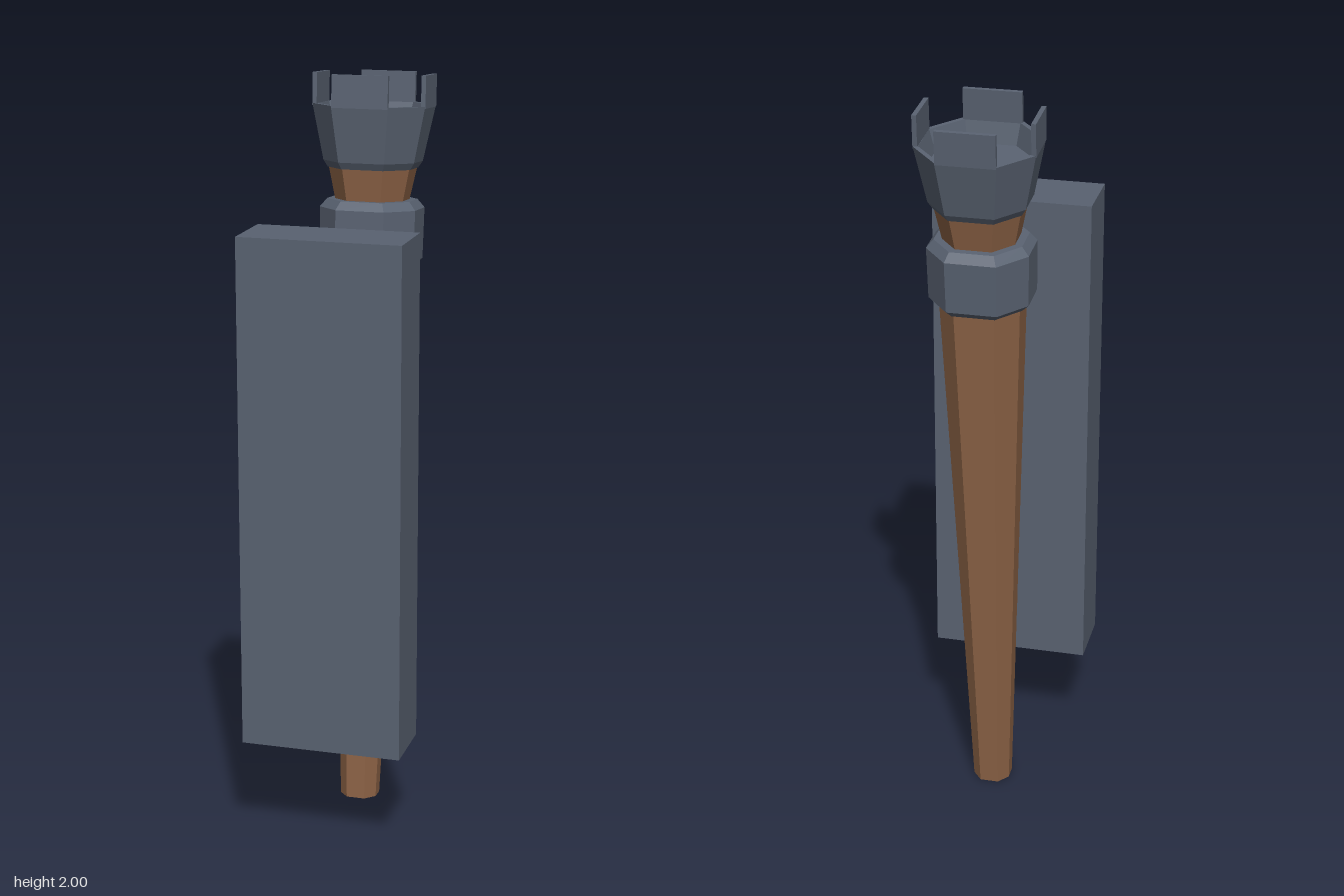
import * as THREE from 'three';

const steel = new THREE.MeshStandardMaterial({ color: 0x596271, flatShading: true });
steel.name = 'slateGrey';
const wood = new THREE.MeshStandardMaterial({ color: 0x8d6346, flatShading: true });
wood.name = 'woodBrown';

// Eight-sided outline (x, z), slightly narrower front to back
const OCTAGON = [
  [0.5, 0.97], [1, 0.385], [1, -0.385], [0.5, -0.97],
  [-0.5, -0.97], [-1, -0.385], [-1, 0.385], [-0.5, 0.97],
];

// Stack octagons along y: profile is a list of [radius, height], radius 0 closes an end
function octagonLoft(name, profile, material) {
  const positions = [];
  const point = ([r, h], i) => {
    const [x, z] = OCTAGON[i % 8];
    return [x * r, h, z * r];
  };
  for (let k = 0; k < profile.length - 1; k++) {
    const low = profile[k], high = profile[k + 1];
    for (let i = 0; i < 8; i++) {
      const a = point(low, i), b = point(low, i + 1);
      const c = point(high, i + 1), d = point(high, i);
      if (low[0] > 0) positions.push(...a, ...b, ...c);
      if (high[0] > 0) positions.push(...a, ...c, ...d);
    }
  }
  const geometry = new THREE.BufferGeometry();
  geometry.setAttribute('position', new THREE.Float32BufferAttribute(positions, 3));
  geometry.computeVertexNormals();
  const mesh = new THREE.Mesh(geometry, material);
  mesh.name = name;
  return mesh;
}

// Box from its low and high corners
function box(name, [x0, y0, z0], [x1, y1, z1], material) {
  const mesh = new THREE.Mesh(new THREE.BoxGeometry(x1 - x0, y1 - y0, z1 - z0), material);
  mesh.position.set((x0 + x1) / 2, (y0 + y1) / 2, (z0 + z1) / 2);
  mesh.name = name;
  return mesh;
}

export function createModel() {
  const model = new THREE.Group();
  model.name = 'wallTorch';

  // Wall plate and the two arms holding the torch
  model.add(box('wallPlate', [-0.213, 0.29, 0.153], [0.213, 1.64, 0.332], steel));
  model.add(box('upperArm', [-0.021, 1.19, -0.1], [0.021, 1.41, 0.153], steel));
  model.add(box('lowerArm', [-0.021, 0.43, -0.07], [0.021, 0.64, 0.153], wood));

  // Torch leaning away from the plate
  const torch = new THREE.Group();
  torch.name = 'torch';
  torch.position.set(0, 0.004, -0.054);
  torch.rotation.x = -0.07;
  model.add(torch);

  torch.add(octagonLoft('handle', [[0, 0], [0.05, 0], [0.104, 1.5], [0, 1.5]], wood));
  torch.add(octagonLoft('collar', [
    [0, 1.487], [0.11, 1.487], [0.128, 1.505], [0.13, 1.64], [0.112, 1.662], [0, 1.662],
  ], steel));
  torch.add(octagonLoft('neck', [[0, 1.65], [0.09, 1.65], [0.111, 1.755], [0, 1.755]], wood));

  // Hollow cup with a shallow floor
  torch.add(octagonLoft('cup', [
    [0, 1.745], [0.112, 1.745], [0.123, 1.763], [0.152, 1.91],
    [0.14, 1.91], [0.125, 1.855], [0, 1.855],
  ], steel));

  // Four upright prongs on the cup rim
  for (const s of [-1, 1]) {
    const side = new THREE.Mesh(new THREE.BoxGeometry(0.012, 0.085, 0.117), steel);
    side.position.set(s * 0.1465, 1.9475, 0);
    side.name = s > 0 ? 'leftProng' : 'rightProng';
    const end = new THREE.Mesh(new THREE.BoxGeometry(0.15, 0.085, 0.012), steel);
    end.position.set(0, 1.9475, s * 0.1415);
    end.name = s > 0 ? 'frontProng' : 'backProng';
    torch.add(side, end);
  }
  return model;
}
